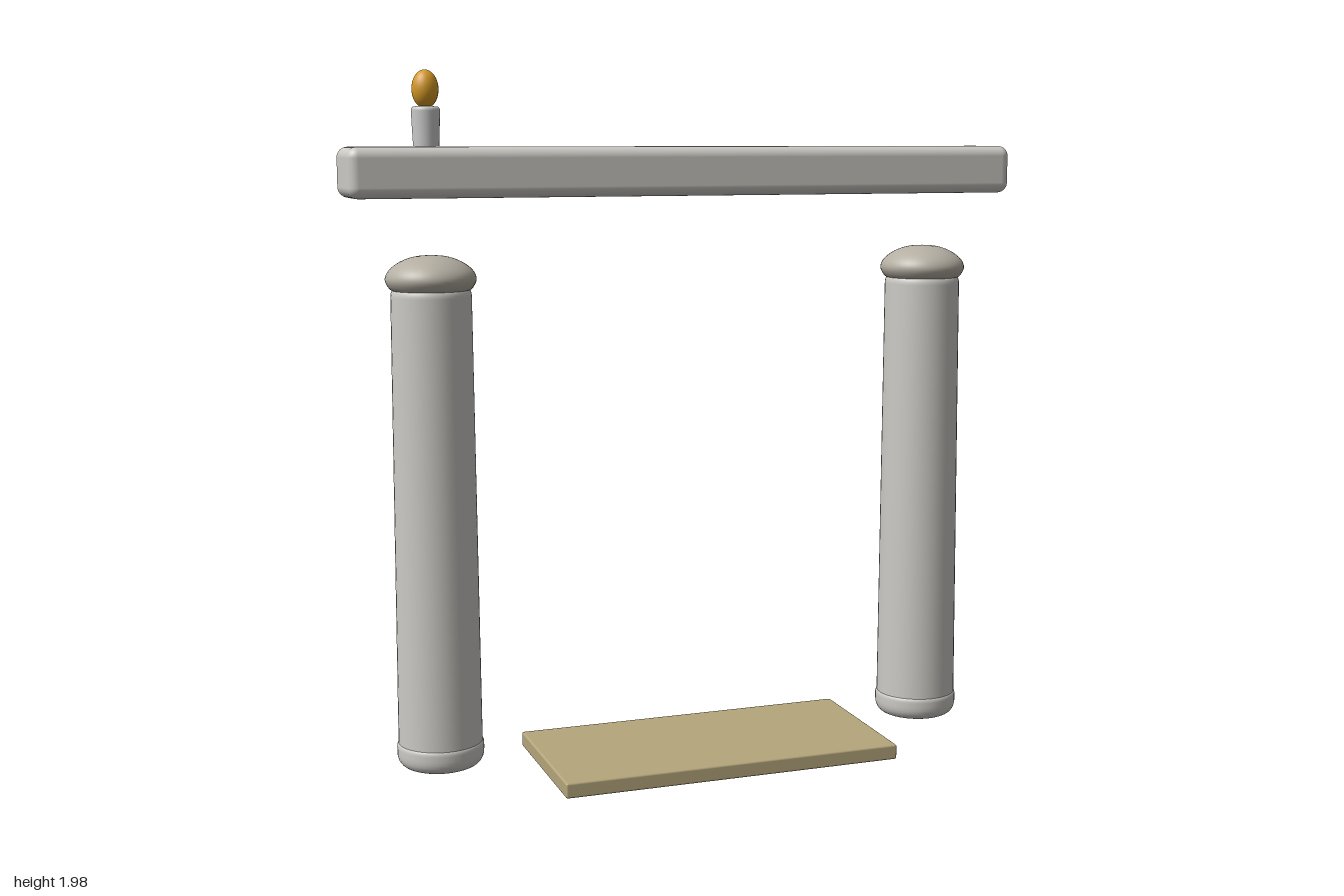
import * as THREE from 'three';
import { RoundedBoxGeometry } from 'three/addons/geometries/RoundedBoxGeometry.js';

const Z = -0.145; // depth of the row of columns, beam and candle

const material = (color) => new THREE.MeshStandardMaterial({ color });
const stone = material(0xcccac5);
const capStone = material(0xb4aea2);
const wax = material(0xcccccc);
const matCloth = material(0xb5a67c);
const flameGold = material(0xd69a26);

function add(parent, name, geometry, mat, x, y, z) {
  const mesh = new THREE.Mesh(geometry, mat);
  mesh.name = name;
  mesh.position.set(x, y, z);
  parent.add(mesh);
  return mesh;
}

// Solid of revolution through a smooth curve of [radius, height] points
function turned(points, steps = 28, segments = 40) {
  const curve = new THREE.SplineCurve(points.map(([r, y]) => new THREE.Vector2(r, y)));
  const profile = curve.getPoints(steps);
  profile.forEach((p) => { p.x = Math.max(p.x, 0); });
  return new THREE.LatheGeometry(profile, segments);
}

// Solid of revolution with rounded rims and straight, tapering sides
function roundedDrum(rBottom, rTop, y0, y1, bevelBottom, bevelTop) {
  const path = new THREE.Path();
  path.moveTo(0, y0);
  path.lineTo(rBottom - bevelBottom, y0);
  path.quadraticCurveTo(rBottom, y0, rBottom, y0 + bevelBottom);
  path.lineTo(rTop, y1 - bevelTop);
  path.quadraticCurveTo(rTop, y1, rTop - bevelTop, y1);
  path.lineTo(0, y1);
  return new THREE.LatheGeometry(path.getPoints(8), 40);
}

export function createModel() {
  const model = new THREE.Group();
  model.name = 'gateway';

  // Two tapering columns, each with a rounded foot and a domed cap
  for (const [side, x] of [['right', -0.76], ['left', 0.76]]) {
    const column = new THREE.Group();
    column.name = side + 'Column';
    column.position.set(x, 0, Z);
    add(column, 'foot', roundedDrum(0.125, 0.125, 0.003, 0.08, 0.045, 0.018), stone, 0, 0, 0);
    add(column, 'shaft', roundedDrum(0.121, 0.113, 0.03, 1.39, 0.02, 0.03), stone, 0, 0, 0);
    add(column, 'cap', turned([
      [0, 1.372], [0.06, 1.372], [0.105, 1.377], [0.122, 1.393], [0.127, 1.413],
      [0.115, 1.436], [0.085, 1.458], [0.045, 1.472], [0, 1.476],
    ]), capStone, 0, 0, 0);
    model.add(column);
  }

  // Floating crossbeam
  add(model, 'crossbeam', new RoundedBoxGeometry(2, 0.14, 0.212, 5, 0.03), stone, 0, 1.705, Z);

  // Candle and flame standing on the beam
  const candle = new THREE.Group();
  candle.name = 'candle';
  candle.position.set(-0.765, 0, Z);
  add(candle, 'candleStick', roundedDrum(0.035, 0.04, 1.75, 1.885, 0.006, 0.012), wax, 0, 0, 0);
  const flame = add(candle, 'flame', new THREE.SphereGeometry(0.037, 28, 20), flameGold, 0, 1.932, 0);
  flame.scale.y = 1.43;
  model.add(candle);

  // Thin mat on the ground
  add(model, 'mat', new RoundedBoxGeometry(1, 0.044, 0.49, 2, 0.006), matCloth, 0, 0.026, 0.025);

  return model;
}
